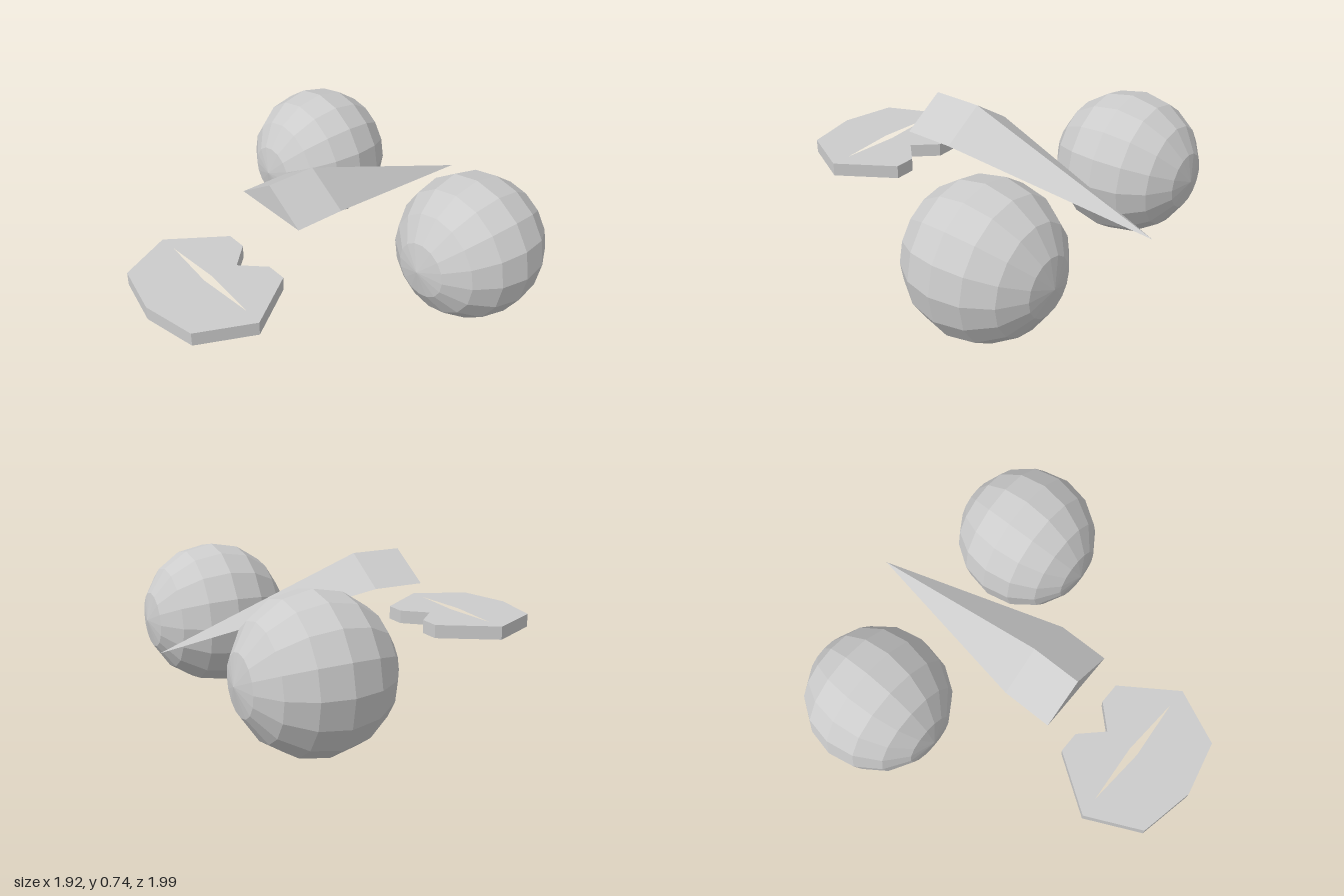
import * as THREE from 'three';

const material = new THREE.MeshStandardMaterial({ color: 0xcccccc, flatShading: true });

function addPart(group, name, geometry) {
  const mesh = new THREE.Mesh(geometry, material);
  mesh.name = name;
  group.add(mesh);
  return mesh;
}

// Triangular bar that tapers from its rear section to a low point at the back
function noseGeometry() {
  const section = z => [[0, 0.74, z], [-0.22, 0.6, z], [0.22, 0.6, z]];
  const front = section(0.29);
  const rear = section(0.03);
  const tip = [0, 0.37, -0.99];
  const positions = [];
  const triangle = (...corners) => positions.push(...corners.flat());
  triangle(...front);
  for (let i = 0; i < 3; i++) {
    const j = (i + 1) % 3;
    triangle(front[i], rear[i], rear[j]);
    triangle(front[i], rear[j], front[j]);
    triangle(rear[i], tip, rear[j]);
  }
  const geometry = new THREE.BufferGeometry();
  geometry.setAttribute('position', new THREE.Float32BufferAttribute(positions, 3));
  geometry.computeVertexNormals();
  return geometry;
}

// Flat lips with a narrow slit, outlined in x and z
function lipsGeometry() {
  const half = [[0, 0.5], [0.11, 0.385], [0.22, 0.385], [0.41, 0.665], [0.28, 0.94], [0, 1]];
  const mirrored = half.slice(1, -1).reverse().map(([x, z]) => [-x, z]);
  const toPoints = list => list.map(([x, z]) => new THREE.Vector2(x, -z));
  const shape = new THREE.Shape(toPoints([...half, ...mirrored]));
  const slit = [[-0.31, 0.662], [0, 0.64], [0.31, 0.662], [0, 0.687]];
  shape.holes.push(new THREE.Path(toPoints(slit)));
  const geometry = new THREE.ExtrudeGeometry(shape, { depth: 0.07, bevelEnabled: false });
  return geometry.rotateX(-Math.PI / 2).translate(0, 0.3, 0);
}

export function createModel() {
  const model = new THREE.Group();
  model.name = 'face';

  // Eyes, with their poles facing front and back
  const eye = new THREE.SphereGeometry(0.37, 16, 8).rotateX(Math.PI / 2);
  for (const [name, side] of [['leftEye', 1], ['rightEye', -1]]) {
    addPart(model, name, eye).position.set(side * 0.59, 0.37, -0.5);
  }

  addPart(model, 'nose', noseGeometry());
  addPart(model, 'lips', lipsGeometry());
  return model;
}
